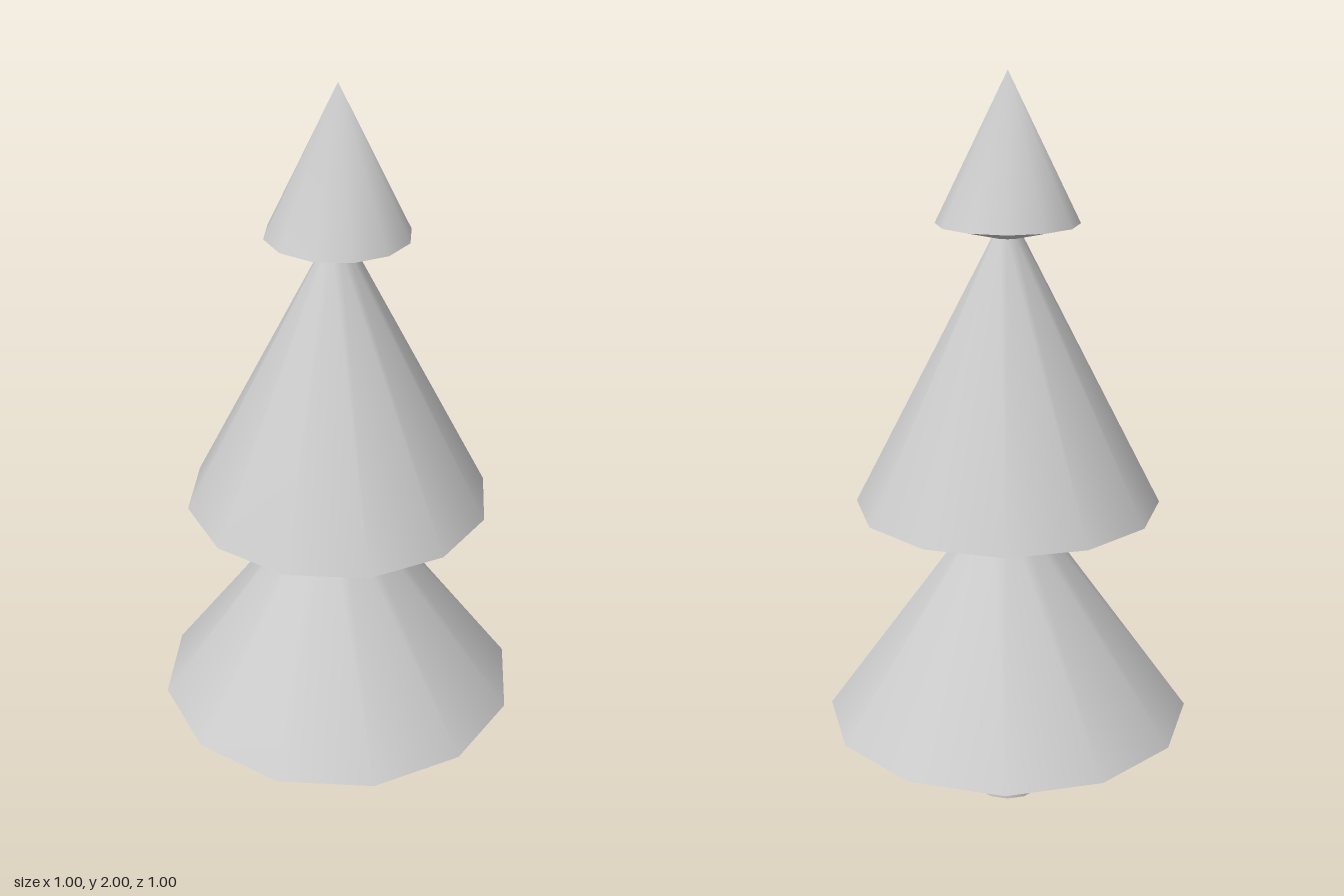
import * as THREE from 'three';
import { mergeVertices } from 'three/addons/utils/BufferGeometryUtils.js';

const SIDES = 12;
const material = new THREE.MeshStandardMaterial({ color: 0xcccccc });

// One smooth band of revolution through [radius, height] points, listed bottom-up
function band(name, points) {
  const lathe = new THREE.LatheGeometry(points.map(([r, y]) => new THREE.Vector2(r, y)), SIDES);
  lathe.deleteAttribute('normal');
  lathe.deleteAttribute('uv');
  const geometry = mergeVertices(lathe, 1e-5);
  geometry.computeVertexNormals();
  const mesh = new THREE.Mesh(geometry, material);
  mesh.name = name;
  return mesh;
}

// Foliage cone with a sloping underside and a crisp rim
function tier(name, neck, rim, tip) {
  const group = new THREE.Group();
  group.name = name;
  group.add(band(name + 'Underside', [neck, rim]), band(name + 'Slope', [rim, tip]));
  return group;
}

export function createModel() {
  const tree = new THREE.Group();
  tree.name = 'tree';

  // Trunk with a flat base
  tree.add(
    band('trunkBase', [[0, 0], [0.093, 0]]),
    band('trunk', [[0.093, 0], [0.093, 0.19]])
  );

  // Three stacked tiers, each growing out of the one below
  tree.add(
    tier('lowerFoliage', [0.093, 0.19], [0.5, 0.255], [0.073, 0.845]),
    tier('middleFoliage', [0.073, 0.845], [0.41, 0.865], [0.04, 1.585]),
    tier('topFoliage', [0.04, 1.585], [0.187, 1.62], [0, 2])
  );
  return tree;
}
